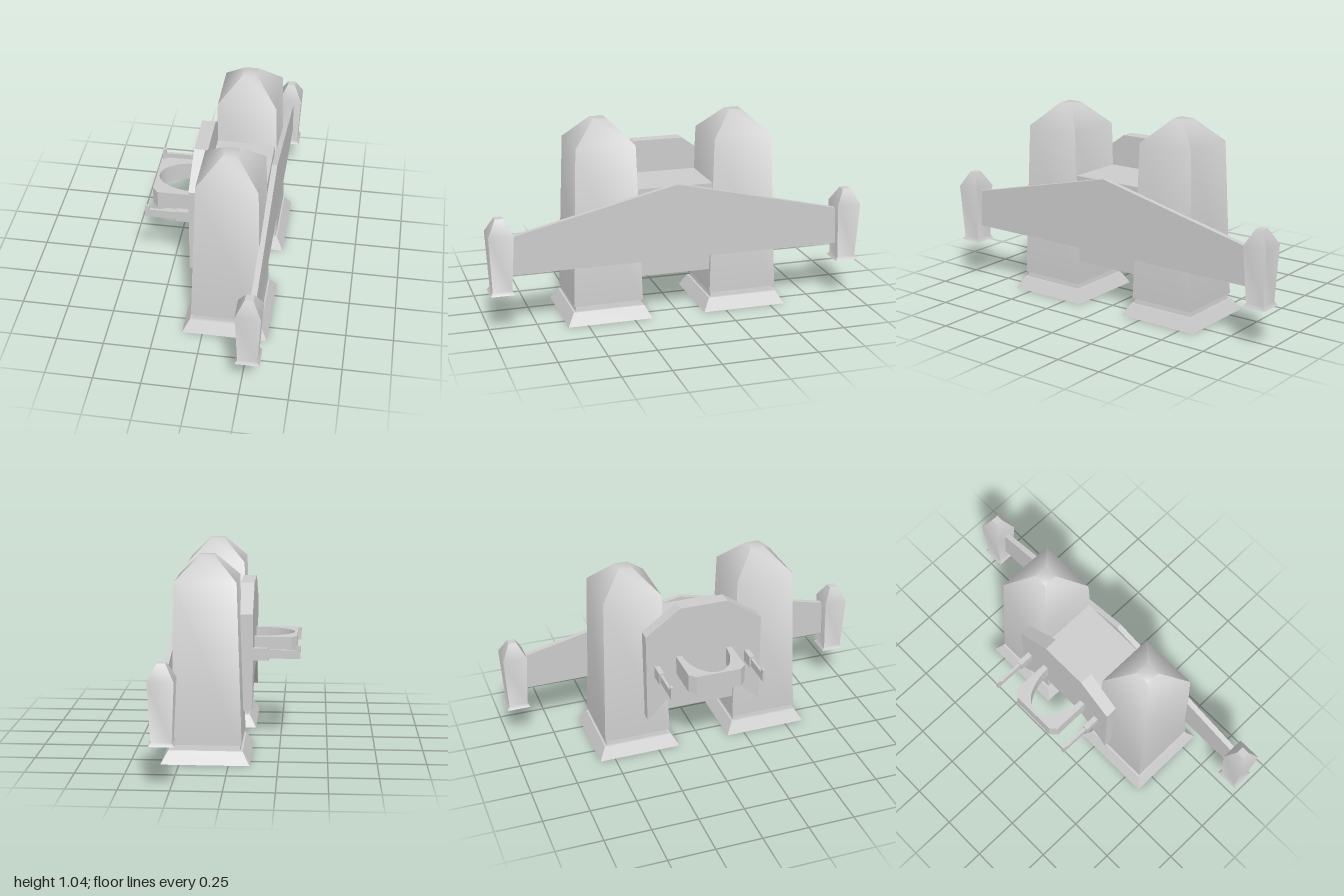
import * as THREE from 'three';
import { toCreasedNormals } from 'three/addons/utils/BufferGeometryUtils.js';

const grey = new THREE.MeshStandardMaterial({ color: 0xcccccc });
const greyDouble = new THREE.MeshStandardMaterial({ color: 0xcccccc, side: THREE.DoubleSide });

function mesh(name, geometry, material = grey) {
  const m = new THREE.Mesh(geometry, material);
  m.name = name;
  return m;
}

function box(name, x0, x1, y0, y1, z0, z1) {
  const g = new THREE.BoxGeometry(x1 - x0, y1 - y0, z1 - z0);
  return mesh(name, g.translate((x0 + x1) / 2, (y0 + y1) / 2, (z0 + z1) / 2));
}

// Square tower from [width, height] pairs, bottom to top
function squareLoft(profile) {
  const points = profile.map(([w, y]) => new THREE.Vector2(w * Math.SQRT1_2, y));
  const g = new THREE.LatheGeometry(points, 4).rotateY(Math.PI / 4);
  return toCreasedNormals(g, THREE.MathUtils.degToRad(50));
}

// Flat outline in (z, y) thickened from x0 to x1
function slab(name, outline, x0, x1) {
  const shape = new THREE.Shape(outline.map(([z, y]) => new THREE.Vector2(z, y)));
  const g = new THREE.ExtrudeGeometry(shape, { depth: x1 - x0, bevelEnabled: false });
  return mesh(name, g.rotateY(-Math.PI / 2).translate(x1, 0, 0));
}

// Tower with flared foot, tapered body, hipped roof and a round nozzle below
function createTower(z) {
  const tower = new THREE.Group();
  tower.name = 'tower';
  tower.position.set(0.118, 0, z);
  tower.add(mesh('towerBody', squareLoft([
    [0.451, 0], [0.377, 0.065], [0.355, 0.065], [0.345, 0.093],
    [0.367, 0.093], [0.313, 0.92], [0.075, 1.042], [0, 1.042],
  ])));

  const r = 0.122, depth = 0.35, h = 0.2255;
  const foot = new THREE.Shape([[-h, -h], [h, -h], [h, h], [-h, h]].map((p) => new THREE.Vector2(...p)));
  foot.holes.push(new THREE.Path().absarc(0, 0, r, 0, Math.PI * 2, true));
  tower.add(mesh('footUnderside', new THREE.ShapeGeometry(foot, 16).rotateX(Math.PI / 2)));
  tower.add(mesh('nozzleWall',
    new THREE.CylinderGeometry(r, r, depth, 32, 1, true).translate(0, depth / 2, 0), greyDouble));
  tower.add(mesh('nozzleEnd',
    new THREE.CircleGeometry(r, 32).rotateX(Math.PI / 2).translate(0, depth, 0)));
  return tower;
}

function createWingPod(z) {
  const pod = mesh('wingPod', squareLoft([
    [0, 0.213], [0.125, 0.213], [0.1, 0.232], [0.128, 0.525], [0.042, 0.606], [0, 0.606],
  ]));
  pod.position.set(0.289, 0, z);
  return pod;
}

// Stepped arm with an upturned tip
function createArm(z) {
  const arm = new THREE.Group();
  arm.name = 'arm';
  arm.add(box('armRoot', -0.19, -0.1, 0.475, 0.54, z - 0.014, z + 0.014));
  arm.add(box('armRod', -0.356, -0.18, 0.485, 0.53, z - 0.007, z + 0.007));
  arm.add(box('armTip', -0.356, -0.334, 0.53, 0.553, z - 0.007, z + 0.007));
  return arm;
}

// U-shaped cradle with clipped corners and an elliptical cut
function createCradle() {
  const zc = 0.01, w = 0.156, cut = 0.125;
  const shape = new THREE.Shape();
  shape.moveTo(-0.108, zc - w);
  shape.lineTo(-0.108, zc - cut);
  shape.absellipse(-0.108, zc, 0.215, cut, -Math.PI / 2, -Math.PI * 1.5, true);
  shape.lineTo(-0.108, zc + w);
  shape.lineTo(-0.306, zc + w);
  shape.lineTo(-0.337, zc + w - 0.034);
  shape.lineTo(-0.337, zc - w + 0.034);
  shape.lineTo(-0.306, zc - w);
  const g = new THREE.ExtrudeGeometry(shape, { depth: 0.102, bevelEnabled: false, curveSegments: 12 });
  return mesh('cradle', g.rotateX(Math.PI / 2).translate(0, 0.577, 0));
}

export function createModel() {
  const model = new THREE.Group();
  model.name = 'twinTowerCraft';

  for (const z of [0.379, -0.356]) model.add(createTower(z));
  for (const z of [0.938, -0.938]) model.add(createWingPod(z));
  for (const z of [0.254, -0.253]) model.add(createArm(z));

  // Wing spanning both pods
  model.add(slab('wing', [
    [-0.89, 0.305], [0.89, 0.305], [0.89, 0.503], [0.01, 0.707], [-0.89, 0.5],
  ], 0.282, 0.311));

  // Block joining the towers
  model.add(box('connector', -0.045, 0.275, 0.215, 0.688, -0.25, 0.27));

  // Mounting plate with clipped shoulders and a notched foot
  const half = [[0.13, 0.862], [0.322, 0.725], [0.322, 0.215], [0.13, 0.39]];
  const right = half.map(([z, y]) => [0.01 + z, y]);
  const left = half.map(([z, y]) => [0.01 - z, y]).reverse();
  model.add(slab('mountingPlate', [...right, ...left], -0.11, -0.038));
  model.add(createCradle());
  return model;
}
